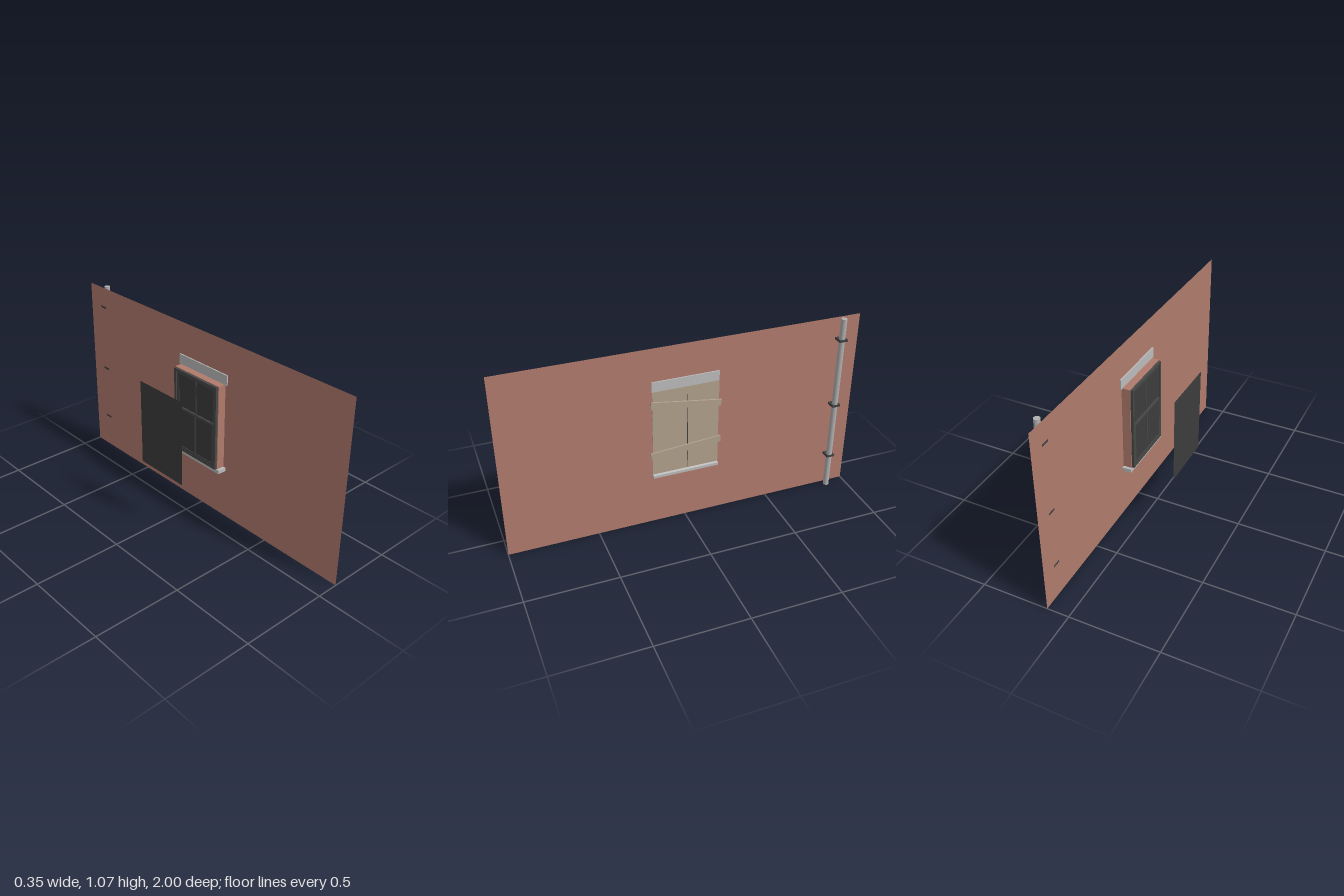
import * as THREE from 'three';

const mat = (name, color, side = THREE.FrontSide) => {
  const m = new THREE.MeshStandardMaterial({ color, side });
  m.name = name;
  return m;
};

export function createModel() {
  const root = new THREE.Group();
  root.name = 'boardedWindowWall';

  const brick = mat('brick', 0xb07b6d, THREE.DoubleSide);
  const stone = mat('paleStone', 0xbcbcbc);
  const metal = mat('pipeMetal', 0xb0b0b0);
  const iron = mat('darkIron', 0x404040);
  const paint = mat('darkFramePaint', 0x464846);
  const glass = mat('darkGlass', 0x3c3c3c, THREE.DoubleSide);
  const wood = mat('weatheredWood', 0xb0a18b);

  const add = (name, geometry, material, parent = root) => {
    const mesh = new THREE.Mesh(geometry, material);
    mesh.name = name;
    parent.add(mesh);
    return mesh;
  };
  // Box given by its limits on each axis
  const box = (name, material, x0, x1, y0, y1, z0, z1, parent = root) => {
    const mesh = add(name, new THREE.BoxGeometry(x1 - x0, y1 - y0, z1 - z0), material, parent);
    mesh.position.set((x0 + x1) / 2, (y0 + y1) / 2, (z0 + z1) / 2);
    return mesh;
  };
  const polygon = (points, Type = THREE.Shape) => new Type(points.map(p => new THREE.Vector2(...p)));
  const rectangle = (w, y0, y1, Type) => polygon([[-w, y0], [w, y0], [w, y1], [-w, y1]], Type);
  // Elevation shape (u = -z, v = y) extruded along x
  const slab = (shape, x0, x1) => new THREE.ExtrudeGeometry(shape, { depth: x1 - x0, bevelEnabled: false })
    .rotateY(Math.PI / 2).translate(x0, 0, 0);

  // Wall sheet with the window opening
  const wallX = 0.123;
  const wallShape = rectangle(1, 0, 1.066);
  wallShape.holes.push(rectangle(0.166, 0.32, 0.818, THREE.Path));
  add('wall', new THREE.ShapeGeometry(wallShape).rotateY(Math.PI / 2).translate(wallX, 0, 0), brick);

  // Brick lining of the opening
  const revealShape = rectangle(0.172, 0.319, 0.821);
  revealShape.holes.push(rectangle(0.166, 0.322, 0.816, THREE.Path));
  add('windowReveal', slab(revealShape, 0.074, 0.1225), brick);

  // Lintel and sloped sill
  box('lintel', stone, 0.116, 0.13, 0.82, 0.878, -0.187, 0.187);
  const sill = polygon([[0.07, 0.296], [0.14, 0.296], [0.14, 0.312], [0.122, 0.317], [0.07, 0.32]]);
  add('sill', new THREE.ExtrudeGeometry(sill, { depth: 0.374, bevelEnabled: false })
    .translate(0, 0, -0.187), stone);

  // Window frame with two sashes
  const win = new THREE.Group();
  win.name = 'window';
  root.add(win);
  const frameShape = rectangle(0.167, 0.32, 0.818);
  frameShape.holes.push(rectangle(0.152, 0.334, 0.804, THREE.Path));
  add('windowFrame', slab(frameShape, 0.06, 0.075), paint, win);
  const sash = (name, y0, y1, x0) => {
    const shape = rectangle(0.152, y0, y1);
    for (const s of [-1, 1]) {
      const a = s * 0.005, b = s * 0.138;
      shape.holes.push(polygon([[a, y0 + 0.016], [b, y0 + 0.016], [b, y1 - 0.014], [a, y1 - 0.014]], THREE.Path));
    }
    add(name, slab(shape, x0, x0 + 0.007), paint, win);
    box(name + 'Glass', glass, x0 + 0.003, x0 + 0.005, y0 + 0.01, y1 - 0.01, -0.145, 0.145, win);
  };
  sash('lowerSash', 0.334, 0.595, 0.061);
  sash('upperSash', 0.58, 0.804, 0.068);

  // Dark interior backdrop
  const backdrop = add('interiorBackdrop', new THREE.PlaneGeometry(0.332, 0.494), glass);
  backdrop.rotation.y = -Math.PI / 2;
  backdrop.position.set(-0.175, 0.567, 0);

  // Covering boards with a ragged central split
  const boards = polygon([
    [-0.187, 0.318], [0.007, 0.318], [0.009, 0.46], [0.006, 0.5], [0.007, 0.58], [0.009, 0.65], [0.009, 0.775],
    [0.012, 0.775], [0.013, 0.6], [0.014, 0.46], [0.013, 0.318], [0.187, 0.318], [0.186, 0.6], [0.187, 0.822],
    [-0.185, 0.822], [-0.183, 0.7], [-0.187, 0.64], [-0.184, 0.5],
  ]);
  add('coveringBoards', slab(boards, 0.126, 0.131), wood);

  // Slanted planks nailed across
  for (const [name, yLeft, yRight] of [['upperPlank', 0.75, 0.69], ['lowerPlank', 0.437, 0.467]]) {
    const plank = box(name, wood, 0.131, 0.14, -0.0185, 0.0185, -0.199, 0.199);
    plank.position.y = (yLeft + yRight) / 2;
    plank.rotation.x = -Math.atan2(yLeft - yRight, 0.398);
  }

  // Drainpipe and its wall clamps
  const pipe = add('drainpipe', new THREE.CylinderGeometry(0.0165, 0.0165, 1.066, 20), metal);
  pipe.position.set(0.155, 0.533, -0.885);
  for (const y of [0.207, 0.542, 0.943]) {
    box('pipeClamp', iron, 0.1225, 0.175, y - 0.006, y + 0.006, -0.909, -0.861);
  }

  return root;
}
